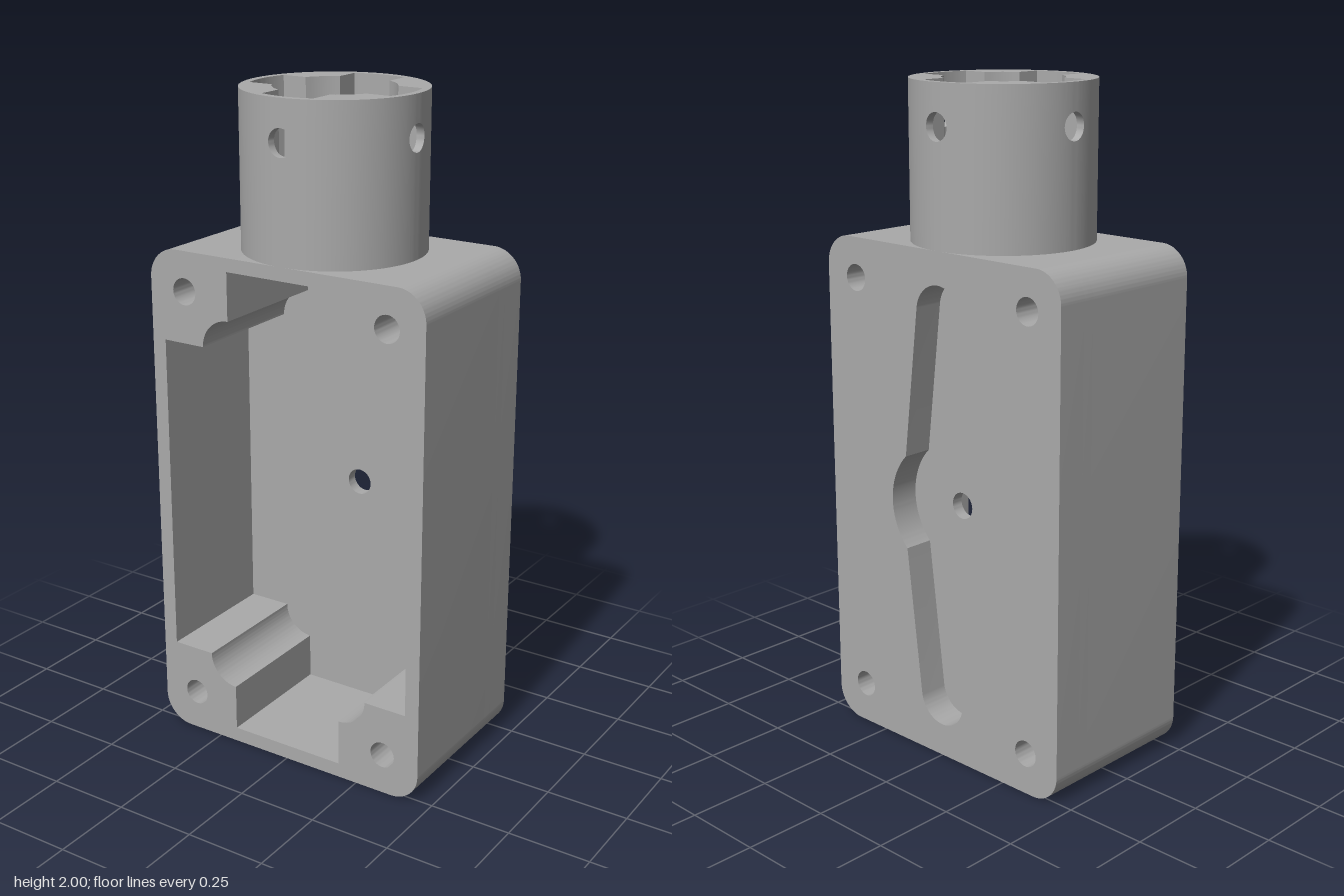
import * as THREE from 'three';
import { toCreasedNormals } from 'three/addons/utils/BufferGeometryUtils.js';

const W = 0.46, H = 1.54, D = 0.268;      // body half width, height, half depth
const MID = H / 2 + 0.002, HOLE = 0.04;
const CAVITY_Z = -0.139, POCKET_Z = -0.175;
const TOP = 2, PORT_Y = 1.88;             // socket rim and cross-hole height

function circle(x, y, r) {
  const p = new THREE.Path();
  p.absarc(x, y, r, 0, Math.PI * 2, true);
  return p;
}

// Rounded plate outline with the four corner screw holes
function plate() {
  const r = 0.09, s = new THREE.Shape();
  s.absarc(W - r, r, r, -Math.PI / 2, 0);
  s.absarc(W - r, H - r, r, 0, Math.PI / 2);
  s.absarc(-W + r, H - r, r, Math.PI / 2, Math.PI);
  s.absarc(-W + r, r, r, Math.PI, Math.PI * 1.5);
  s.closePath();
  for (const x of [-0.34, 0.34]) for (const y of [0.125, 1.42]) s.holes.push(circle(x, y, HOLE));
  return s;
}

// Front cavity: wide middle, narrower ends, quarter-round steps between
function cavity() {
  const p = new THREE.Path(), x = 0.415, c = 0.188, r = 0.09, lo = 0.278, hi = 1.265;
  const q = Math.PI / 2;
  p.moveTo(x, lo);
  p.lineTo(x, hi);
  p.absarc(c, hi, r, 0, q);
  p.lineTo(c, 1.5);
  p.lineTo(-c, 1.5);
  p.absarc(-c, hi, r, q, 2 * q);
  p.lineTo(-x, hi);
  p.lineTo(-x, lo);
  p.absarc(-c, lo, r, 2 * q, 3 * q);
  p.lineTo(-c, 0.045);
  p.lineTo(c, 0.045);
  p.absarc(c, lo, r, 3 * q, 4 * q);
  p.closePath();
  return p;
}

// Back pocket: round hub with two tapering arms
function armPocket() {
  const p = new THREE.Path(), jx = 0.14, jy = 0.143, R = Math.hypot(jx, jy);
  const a = Math.atan2(jy, jx), tip = 0.585, r = 0.086;
  p.absarc(0, MID, R, -a, a);
  p.absarc(0, MID + tip, r, 0.12, Math.PI - 0.12);
  p.absarc(0, MID, R, Math.PI - a, Math.PI + a);
  p.absarc(0, MID - tip, r, Math.PI + 0.12, Math.PI * 2 - 0.12);
  p.closePath();
  return p;
}

function layer(name, opening, z0, z1, material) {
  const s = plate();
  s.holes.push(opening);
  const g = new THREE.ExtrudeGeometry(s, { depth: z1 - z0, bevelEnabled: false, curveSegments: 20 });
  g.translate(0, 0, z0);
  const m = new THREE.Mesh(toCreasedNormals(g, 0.5), material);
  m.name = name;
  return m;
}

// Socket wall swept round the y axis; the inside has four slots between four ribs
function socketGeometry() {
  const SLOT = 0.245, RIB = 0.175, half = 0.083;
  const a = Math.asin(half / SLOT), b = Math.asin(half / RIB);
  const side = [];
  for (let i = 0; i <= 8; i++) side.push(Math.asin(HOLE * Math.sin(i * Math.PI / 16) / D));
  side.push(0.2, 0.27, a, (a + b) / 2, b, b + 0.1, b + 0.2);
  const local = [...side.slice(1).reverse().map(t => -t), ...side, Math.PI / 4];
  const steps = [];
  for (let k = 0; k < 4; k++) for (const t of local) {
    const s = Math.abs(t), u = D * Math.sin(s);
    steps.push({
      angle: t + k * Math.PI / 2,
      inner: s <= a + 1e-6 ? SLOT : Math.max(RIB, half / Math.sin(s)),
      gap: Math.sqrt(Math.max(0, HOLE * HOLE - u * u)),
    });
  }
  const pos = [];
  const point = (s, [r, y]) => [r * Math.sin(s.angle), y, r * Math.cos(s.angle)];
  const bands = [
    s => [[D, H - 0.01], [D, PORT_Y - s.gap], [s.inner, PORT_Y - s.gap], [s.inner, H - 0.01]],
    s => [[D, PORT_Y + s.gap], [D, TOP], [s.inner, TOP], [s.inner, PORT_Y + s.gap]],
  ];
  bands.forEach((section, band) => steps.forEach((s, i) => {
    const n = steps[(i + 1) % steps.length], P = section(s), Q = section(n);
    const open = s.gap > 1e-4 || n.gap > 1e-4;
    for (let k = 0; k < 4; k++) {
      const portFace = band === 0 ? k === 1 : k === 3;
      if (portFace && !open) continue;      // joined faces away from the cross holes
      const j = (k + 1) % 4;
      const A = point(s, P[k]), B = point(n, Q[k]), C = point(n, Q[j]), E = point(s, P[j]);
      pos.push(...A, ...B, ...C, ...A, ...C, ...E);
    }
  }));
  const g = new THREE.BufferGeometry();
  g.setAttribute('position', new THREE.Float32BufferAttribute(pos, 3));
  return toCreasedNormals(g, 0.5);
}

export function createModel() {
  const grey = new THREE.MeshStandardMaterial({ color: 0xaaaaaa });
  grey.name = 'grey plastic';
  const model = new THREE.Group();
  model.name = 'housing';

  // Box body in three layers
  model.add(
    layer('cavityWalls', cavity(), CAVITY_Z, D, grey),
    layer('floorPlate', circle(0, MID, HOLE), POCKET_Z, CAVITY_Z, grey),
    layer('backPlate', armPocket(), -D, POCKET_Z, grey),
  );

  // Slotted socket on top
  const socket = new THREE.Mesh(socketGeometry(), grey);
  socket.name = 'socket';
  model.add(socket);
  return model;
}
